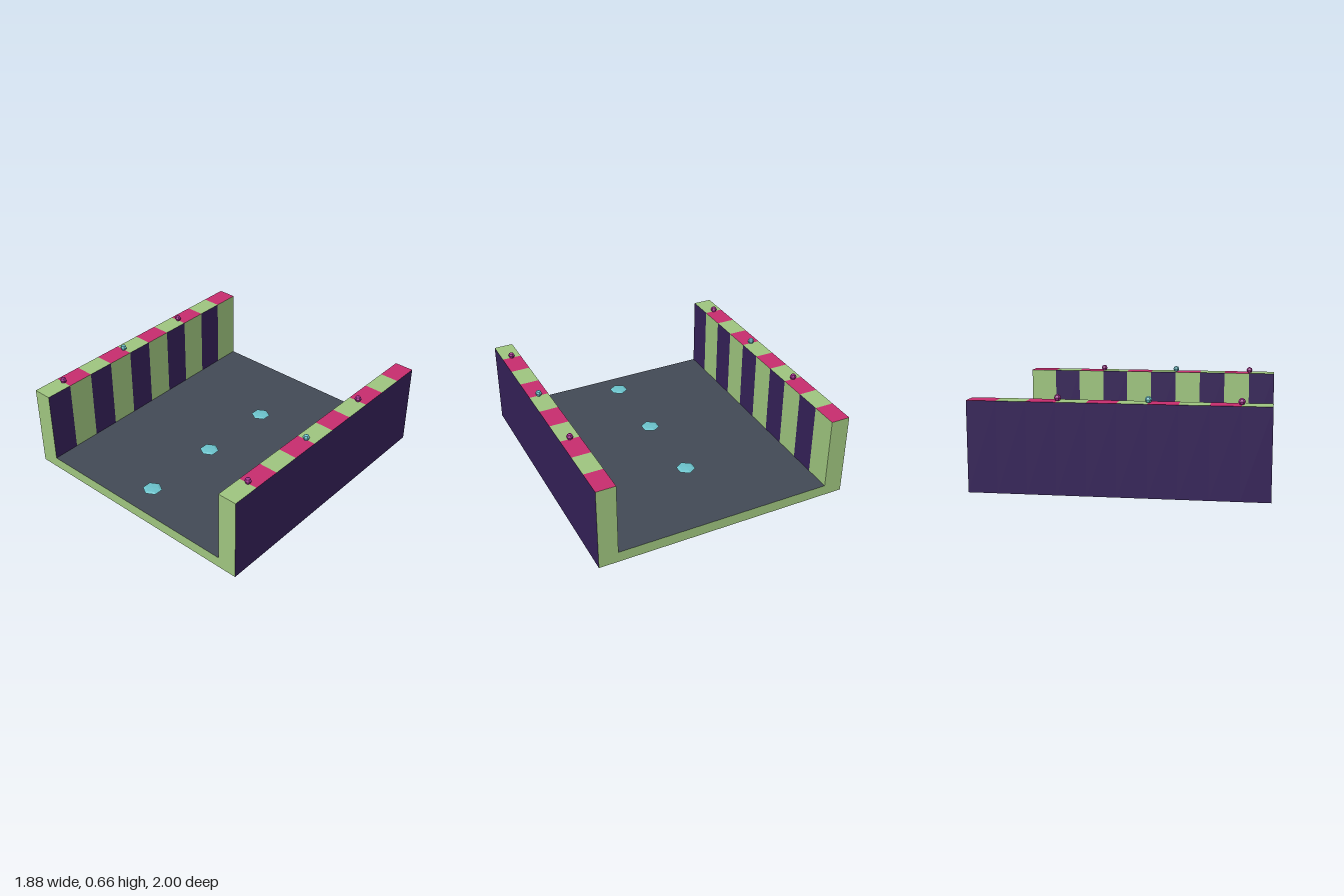
import * as THREE from 'three';

const paint = (name, color, flatShading = false) => {
  const m = new THREE.MeshStandardMaterial({ color, flatShading });
  m.name = name;
  return m;
};

export function createModel() {
  const model = new THREE.Group();
  model.name = 'trackSection';

  const green = paint('light green', 0xa0c780);
  const pink = paint('pink', 0xc92d6f);
  const purple = paint('deep purple', 0x352159);
  const slate = paint('slate', 0x434a56);
  const teal = paint('teal', 0x6cc4cd, true);
  const magenta = paint('magenta', 0xa82a92, true);

  const add = (name, geometry, material, x, y, z) => {
    const mesh = new THREE.Mesh(geometry, material);
    mesh.name = name;
    mesh.position.set(x, y, z);
    model.add(mesh);
    return mesh;
  };

  // Floor: slate deck, purple underside, green ends
  add('floor', new THREE.BoxGeometry(1.6, 0.08, 2),
    [purple, purple, slate, purple, green, green], 0, 0.04, 0);

  // Walls: one box cut into ten bands, striped on the inside and along the top
  const bands = 10;
  const mats = [purple, green, pink];
  const wallGeometry = (side) => {
    const g = new THREE.BoxGeometry(0.14, 0.62, 2, 1, 1, bands);
    g.clearGroups();
    let start = 0;
    const quad = (m) => { g.addGroup(start, 6, m); start += 6; };
    // +x face runs front to back, -x face runs back to front
    for (let i = 0; i < bands; i++) quad(side < 0 ? i % 2 : 0);
    for (let i = 0; i < bands; i++) quad(side > 0 ? (i + 1) % 2 : 0);
    // top runs back to front, starting pink
    for (let i = 0; i < bands; i++) quad(i % 2 ? 1 : 2);
    for (let i = 0; i < bands; i++) quad(0);
    quad(1);
    quad(1);
    return g;
  };
  add('leftWall', wallGeometry(1), mats, 0.87, 0.31, 0);
  add('rightWall', wallGeometry(-1), mats, -0.87, 0.31, 0);

  // Hexagonal bead shared by the wall lamps and, flattened, the floor pads
  const bead = new THREE.SphereGeometry(1, 6, 4).rotateY(Math.PI / 2);
  [-0.4, 0.2, 0.8].forEach((z, i) => {
    add('floorPad', bead, teal, 0, 0.1, z).scale.set(0.07, 0.01, 0.07);
    for (const x of [-0.87, 0.87]) {
      add('wallLamp', bead, i === 1 ? teal : magenta, x, 0.64, z).scale.setScalar(0.024);
    }
  });

  return model;
}
